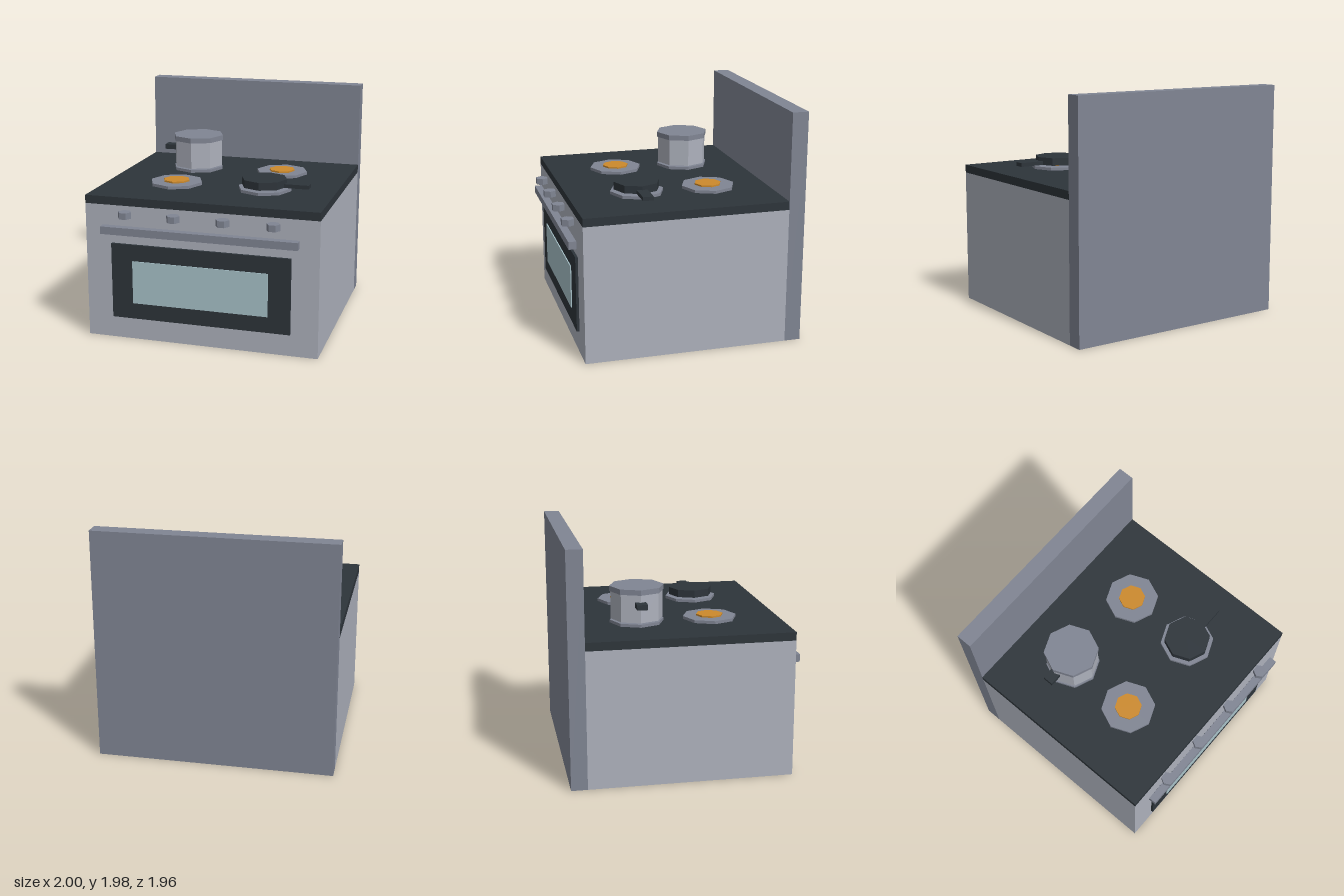
import * as THREE from 'three';

export function createModel() {
  const stove = new THREE.Group();
  stove.name = 'stove';

  const mat = (name, color) => {
    const m = new THREE.MeshStandardMaterial({ color, flatShading: true });
    m.name = name;
    return m;
  };
  const steel = mat('light steel', 0xadb1bc);
  const grey = mat('dark steel', 0x808593);
  const black = mat('black enamel', 0x2d343a);
  const glass = mat('oven glass', 0xa8c2c9);
  const glow = mat('hot orange', 0xcc8a2c);

  const add = (name, geometry, material, parent = stove) => {
    const mesh = new THREE.Mesh(geometry, material);
    mesh.name = name;
    parent.add(mesh);
    return mesh;
  };
  // Box given by its extents on each axis
  const box = (name, [x0, x1], [y0, y1], [z0, z1], material, parent) =>
    add(name, new THREE.BoxGeometry(x1 - x0, y1 - y0, z1 - z0), material, parent)
      .position.set((x0 + x1) / 2, (y0 + y1) / 2, (z0 + z1) / 2);
  // Upright low-poly prism standing between two heights
  const prism = (name, r, sides, x, z, [y0, y1], material, parent) => {
    const mesh = add(name, new THREE.CylinderGeometry(r, r, y1 - y0, sides), material, parent);
    mesh.position.set(x, (y0 + y1) / 2, z);
    return mesh;
  };

  // Cabinet, cooktop and backsplash
  box('body', [-1, 1], [0, 1.167], [-0.845, 0.88], steel);
  box('cooktop', [-1, 1], [1.167, 1.237], [-0.845, 0.88], black);
  box('backsplash', [-1, 1], [0, 1.98], [-0.982, -0.845], grey);

  // Oven door, window and handle
  box('ovenDoor', [-0.77, 0.77], [0.19, 0.84], [0.88, 0.902], black);
  box('ovenWindow', [-0.583, 0.583], [0.33, 0.7], [0.902, 0.911], glass);
  box('ovenHandle', [-0.838, 0.838], [0.935, 1.0], [0.902, 0.967], grey);

  // Control knobs
  for (const x of [-0.63, -0.21, 0.21, 0.63]) {
    prism('knob', 0.057, 6, x, 0.932, [1.077, 1.132], grey).rotation.y = Math.PI / 2;
  }

  // Burners with glowing centres
  for (const x of [-0.395, 0.395]) {
    for (const z of [-0.335, 0.292]) {
      const burner = new THREE.Group();
      burner.name = 'burner';
      stove.add(burner);
      prism('burnerRing', 0.23, 8, x, z, [1.237, 1.262], grey, burner);
      prism('burnerGlow', 0.115, 8, x, z, [1.262, 1.276], glow, burner);
    }
  }

  // Lidded pot on the back burner
  const pot = new THREE.Group();
  pot.name = 'pot';
  stove.add(pot);
  prism('potBody', 0.222, 8, -0.395, -0.335, [1.272, 1.507], steel, pot);
  prism('potLid', 0.231, 8, -0.395, -0.335, [1.507, 1.552], grey, pot);
  box('potHandle', [-0.702, -0.6], [1.403, 1.447], [-0.38, -0.29], black, pot);

  // Frying pan on the front burner
  const pan = new THREE.Group();
  pan.name = 'pan';
  stove.add(pan);
  prism('panBody', 0.197, 8, 0.392, 0.292, [1.274, 1.34], black, pan);
  box('panHandle', [0.56, 0.785], [1.274, 1.307], [0.247, 0.337], black, pan);

  return stove;
}
